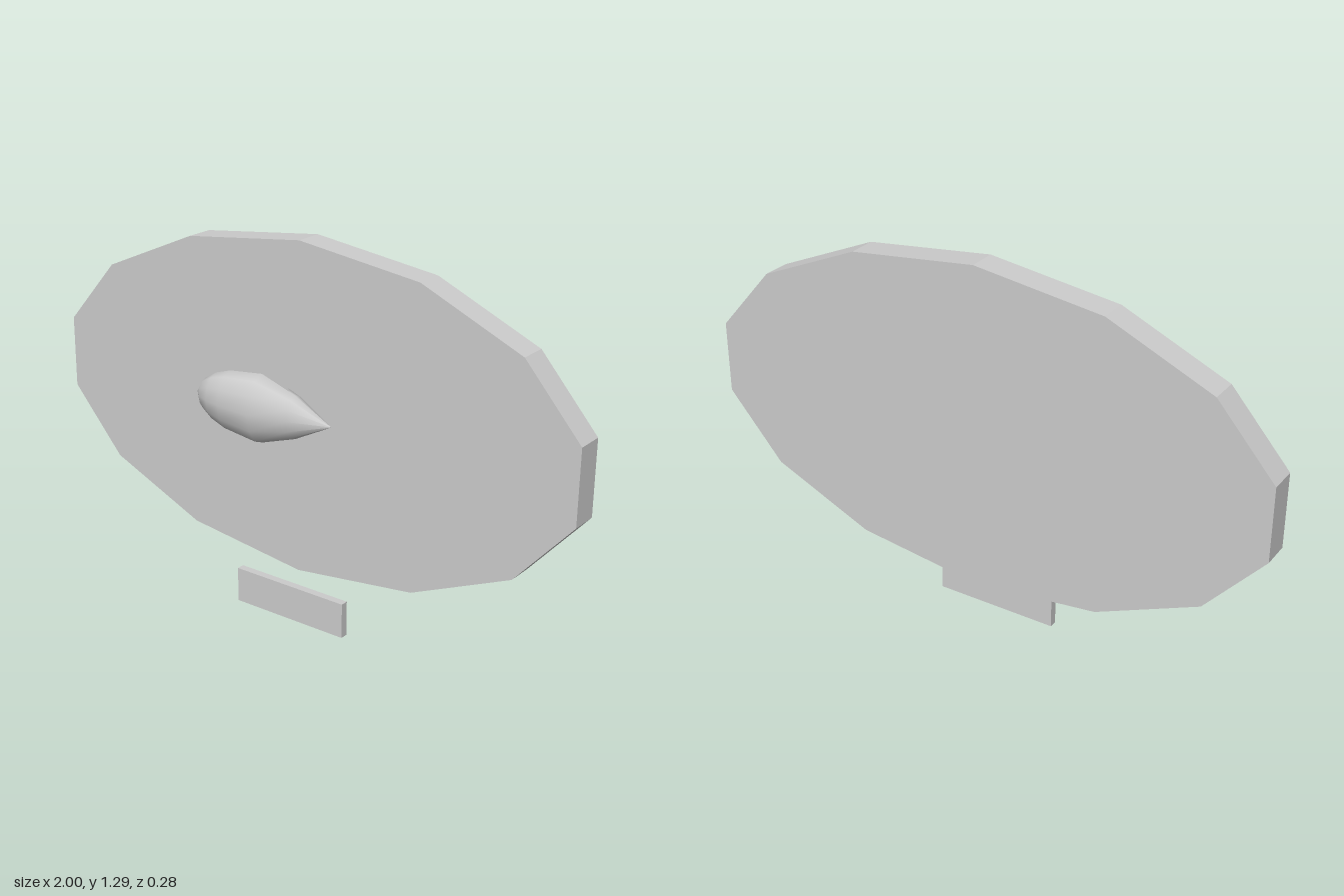
import * as THREE from 'three';

const grey = (options = {}) => new THREE.MeshStandardMaterial({ color: 0xcccccc, ...options });

export function createModel() {
  const model = new THREE.Group();
  model.name = 'mountedFish';

  function add(name, geometry, material, x, y, z, parent = model) {
    const mesh = new THREE.Mesh(geometry, material);
    mesh.name = name;
    mesh.position.set(x, y, z);
    parent.add(mesh);
    return mesh;
  }

  // Oval backing board with fourteen sides
  const board = new THREE.CylinderGeometry(1, 1, 0.096, 14);
  board.rotateX(Math.PI / 2);
  board.scale(1.0257, 0.5625, 1);
  add('backingBoard', board, grey({ flatShading: true }), 0, 0.7235, -0.092);

  // Small plate below the board
  add('namePlate', new THREE.BoxGeometry(0.435, 0.122, 0.027), grey({ flatShading: true }), -0.001, 0.061, -0.006);

  const fish = new THREE.Group();
  fish.name = 'fish';
  fish.position.set(0, 0.752, 0.061);
  model.add(fish);

  // Body: [position along x, half height], flattened sideways
  const profile = [
    [-0.336, 0], [-0.3, 0.052], [-0.255, 0.08], [-0.195, 0.1],
    [-0.065, 0.116], [0.067, 0.072], [0.206, 0],
  ].map(([x, r]) => new THREE.Vector2(r, x));
  const body = new THREE.LatheGeometry(profile, 12);
  body.rotateZ(-Math.PI / 2);
  body.scale(1, 1, 0.68);
  add('body', body, grey(), 0, 0, 0, fish);

  // Thin fins in the middle plane of the fish
  const fin = (name, outline) => add(
    name,
    new THREE.ShapeGeometry(new THREE.Shape(outline.map(([x, y]) => new THREE.Vector2(x, y)))),
    grey({ side: THREE.DoubleSide }), 0, 0, 0, fish,
  );
  fin('tailFin', [[0.2, 0], [0.338, -0.094], [0.305, 0], [0.338, 0.096]]);
  fin('backFin', [[-0.085, 0.11], [0.045, 0.08], [0.005, 0.156]]);

  return model;
}
